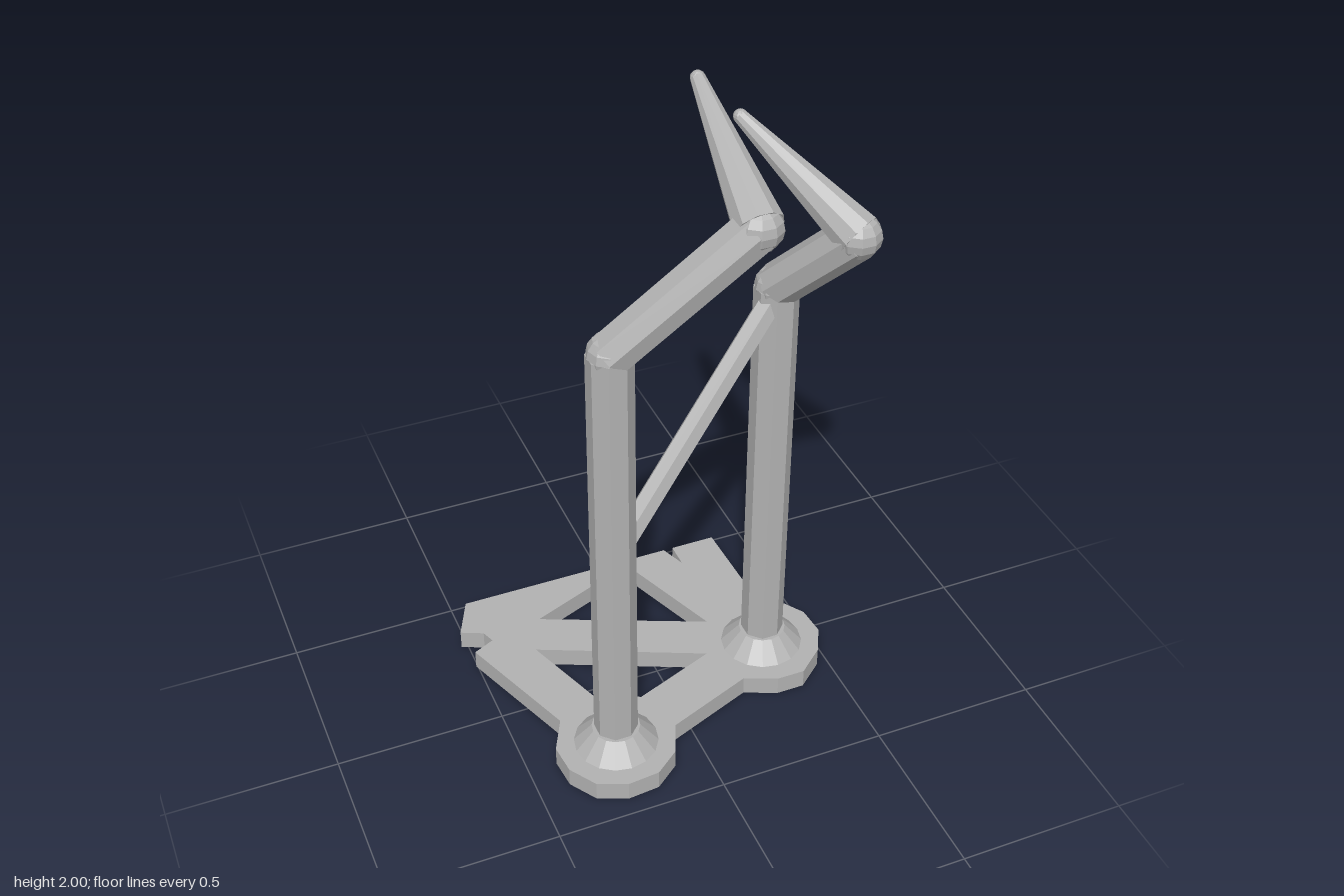
import * as THREE from 'three';

const steel = new THREE.MeshStandardMaterial({ color: 0xb2b2b2 });
steel.name = 'grey steel';
steel.flatShading = true;

const v = (x, y, z) => new THREE.Vector3(x, y, z);
const points = list => list.map(([x, z]) => new THREE.Vector2(x, z));

function add(parent, name, geometry) {
  const mesh = new THREE.Mesh(geometry, steel);
  mesh.name = name;
  parent.add(mesh);
  return mesh;
}

// Faceted bar running from a to b, optionally tapered
function bar(parent, name, a, b, ra, rb, sides = 8) {
  const dir = b.clone().sub(a);
  const mesh = add(parent, name, new THREE.CylinderGeometry(rb, ra, dir.length(), sides));
  mesh.geometry.rotateY(Math.PI / sides);
  mesh.position.copy(a).lerp(b, 0.5);
  mesh.quaternion.setFromUnitVectors(v(0, 1, 0), dir.normalize());
}

function ball(parent, name, p, r) {
  add(parent, name, new THREE.SphereGeometry(r, 10, 8)).position.copy(p);
}

// Collar, post, leaning arm and pointed tip
function hook(name, foot, bend, elbow, tip) {
  const g = new THREE.Group();
  g.name = name;
  const r = 0.063;
  const collar = add(g, 'collar', new THREE.CylinderGeometry(0.07, 0.123, 0.06, 16));
  collar.position.set(foot.x, 0.09, foot.z);
  bar(g, 'post', foot, bend, r, r);
  ball(g, 'bendJoint', bend, r * 0.98);
  bar(g, 'arm', bend, elbow, r, r);
  ball(g, 'elbowJoint', elbow, r);
  bar(g, 'spike', elbow, tip, 0.066, 0.02, 10);
  ball(g, 'spikeTip', tip, 0.02);
  return g;
}

export function createModel() {
  const model = new THREE.Group();
  model.name = 'hookStand';

  // Base plate with notches, two round pads and two openings
  const plate = new THREE.Shape(points([
    [-0.465, -0.45], [0.21, -0.45], [0.24, -0.37], [0.24, -0.45], [0.38, -0.45],
    [0.39, -0.115], [0.45, -0.085], [0.5, -0.01], [0.507, 0.08], [0.465, 0.16],
    [0.385, 0.226], [0.3, 0.226], [0.205, 0.185], [-0.06, 0.285], [-0.1, 0.38],
    [-0.175, 0.437], [-0.27, 0.445], [-0.355, 0.41], [-0.407, 0.33], [-0.415, 0.24],
    [-0.365, 0.14], [-0.505, -0.23], [-0.44, -0.26], [-0.455, -0.3], [-0.52, -0.33],
  ]));
  plate.holes.push(
    new THREE.Path(points([[-0.275, -0.295], [0.07, -0.43], [0.203, -0.085]])),
    new THREE.Path(points([[-0.33, -0.17], [0.145, 0.045], [-0.11, 0.14],
      [-0.14, 0.115], [-0.2, 0.088], [-0.235, 0.09]])),
  );
  const plateGeo = new THREE.ExtrudeGeometry(plate, { depth: 0.06, bevelEnabled: false });
  plateGeo.rotateX(Math.PI / 2).translate(0, 0.06, 0);
  add(model, 'basePlate', plateGeo);

  // Two bent hooks
  model.add(
    hook('tallHook', v(-0.24, 0.03, 0.27), v(-0.24, 1.415, 0.27),
      v(0.105, 1.76, 0.38), v(0.105, 1.98, 0.005)),
    hook('shortHook', v(0.325, 0.03, 0.05), v(0.325, 1.35, 0.05),
      v(0.45, 1.585, 0.25), v(0.262, 1.805, -0.075)),
  );

  // Diagonal brace between the posts
  bar(model, 'brace', v(-0.2, 0.79, 0.255), v(0.325, 1.335, 0.055), 0.035, 0.035, 6);
  return model;
}
